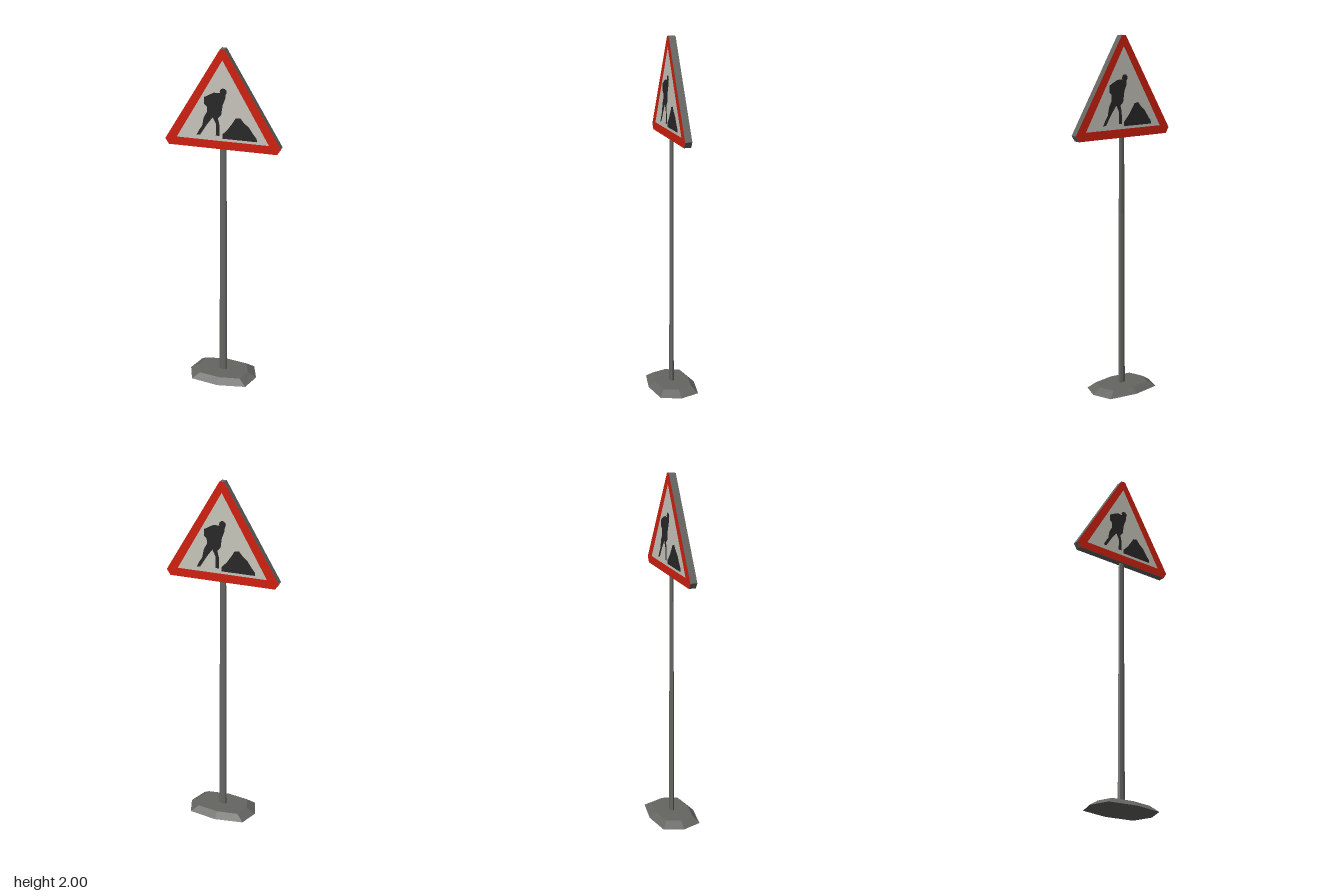
import * as THREE from 'three';

const mat = (name, color, flatShading = true) => {
  const m = new THREE.MeshStandardMaterial({ color, flatShading });
  m.name = name;
  return m;
};

const shapeOf = (pts) => new THREE.Shape(pts.map(([x, y]) => new THREE.Vector2(x, y)));

function add(parent, name, geometry, material) {
  const mesh = new THREE.Mesh(geometry, material);
  mesh.name = name;
  parent.add(mesh);
  return mesh;
}

// Faceted solid joining a lower and an upper ring of [x, z] points, with caps
function frustum(lower, y0, upper, y1) {
  const n = lower.length, pos = [];
  const tri = (...p) => p.forEach((v) => pos.push(...v));
  for (let i = 0; i < n; i++) {
    const j = (i + 1) % n;
    const a = [lower[i][0], y0, lower[i][1]], b = [lower[j][0], y0, lower[j][1]];
    const c = [upper[i][0], y1, upper[i][1]], d = [upper[j][0], y1, upper[j][1]];
    tri(a, c, b);
    tri(b, c, d);
    tri([0, y1, 0], d, c);
    tri([0, y0, 0], a, b);
  }
  const g = new THREE.BufferGeometry();
  g.setAttribute('position', new THREE.Float32BufferAttribute(pos, 3));
  g.computeVertexNormals();
  return g;
}

// Stretched octagon: side tip, diagonal corner and front tip, mirrored
const octagon = (sx, dx, dz, fz) => [
  [sx, 0], [dx, dz], [0, fz], [-dx, dz], [-sx, 0], [-dx, -dz], [0, -fz], [dx, -dz],
];

export function createModel() {
  const model = new THREE.Group();
  model.name = 'roadworksSign';
  const grey = mat('grey metal', 0x656562);
  const red = mat('red border', 0xd0200f);
  const white = mat('off white panel', 0xc8c6bc);
  const black = mat('black symbol', 0x282828);

  // Foot
  add(model, 'base', frustum(octagon(0.202, 0.163, 0.11, 0.137), 0, octagon(0.15, 0.122, 0.082, 0.1), 0.032), grey);

  // Flattened pole, tapering upward
  const pole = add(model, 'pole', new THREE.CylinderGeometry(0.018, 0.0235, 1.45, 8), grey);
  pole.position.y = 0.755;
  pole.scale.z = 0.55;

  // Triangular sign body with clipped corners
  const outline = [[-0.3, 1.45], [0.3, 1.45], [0.32, 1.482], [0.013, 2], [-0.013, 2], [-0.32, 1.482]];
  const body = new THREE.ExtrudeGeometry(shapeOf(outline), { depth: 0.038, bevelEnabled: false });
  body.translate(0, 0, -0.019);
  add(model, 'signBody', body, grey);

  // Printed faces, the same on both sides
  const inner = [[-0.255, 1.497], [0.255, 1.497], [0, 1.942]];
  const border = shapeOf(outline);
  border.holes.push(new THREE.Path(inner.map(([x, y]) => new THREE.Vector2(x, y))));
  const worker = [
    [-0.074, 1.75], [-0.045, 1.765], [-0.01, 1.765], [0.005, 1.757], [0.019, 1.765], [0.016, 1.735],
    [0.002, 1.7], [-0.006, 1.643], [-0.024, 1.625], [-0.016, 1.59], [-0.015, 1.526], [-0.036, 1.526],
    [-0.034, 1.59], [-0.052, 1.628], [-0.084, 1.585], [-0.122, 1.524], [-0.143, 1.52], [-0.128, 1.55],
    [-0.111, 1.575], [-0.102, 1.622], [-0.084, 1.655], [-0.084, 1.685], [-0.1, 1.7], [-0.1, 1.735],
  ];
  const heap = [
    [0, 1.512], [0.19, 1.512], [0.188, 1.53], [0.168, 1.555], [0.145, 1.59], [0.118, 1.612],
    [0.098, 1.637], [0.072, 1.632], [0.058, 1.608], [0.032, 1.57], [0, 1.535],
  ];
  for (const [name, turn] of [['frontFace', 0], ['backFace', Math.PI]]) {
    const face = new THREE.Group();
    face.name = name;
    face.rotation.y = turn;
    model.add(face);
    add(face, 'border', new THREE.ShapeGeometry(border), red).position.z = 0.0205;
    add(face, 'panel', new THREE.ShapeGeometry(shapeOf(inner)), white).position.z = 0.0205;
    add(face, 'workerBody', new THREE.ShapeGeometry(shapeOf(worker)), black).position.z = 0.022;
    add(face, 'workerHead', new THREE.CircleGeometry(0.019, 12), black).position.set(0.005, 1.773, 0.022);
    add(face, 'heap', new THREE.ShapeGeometry(shapeOf(heap)), black).position.z = 0.022;
  }
  return model;
}
